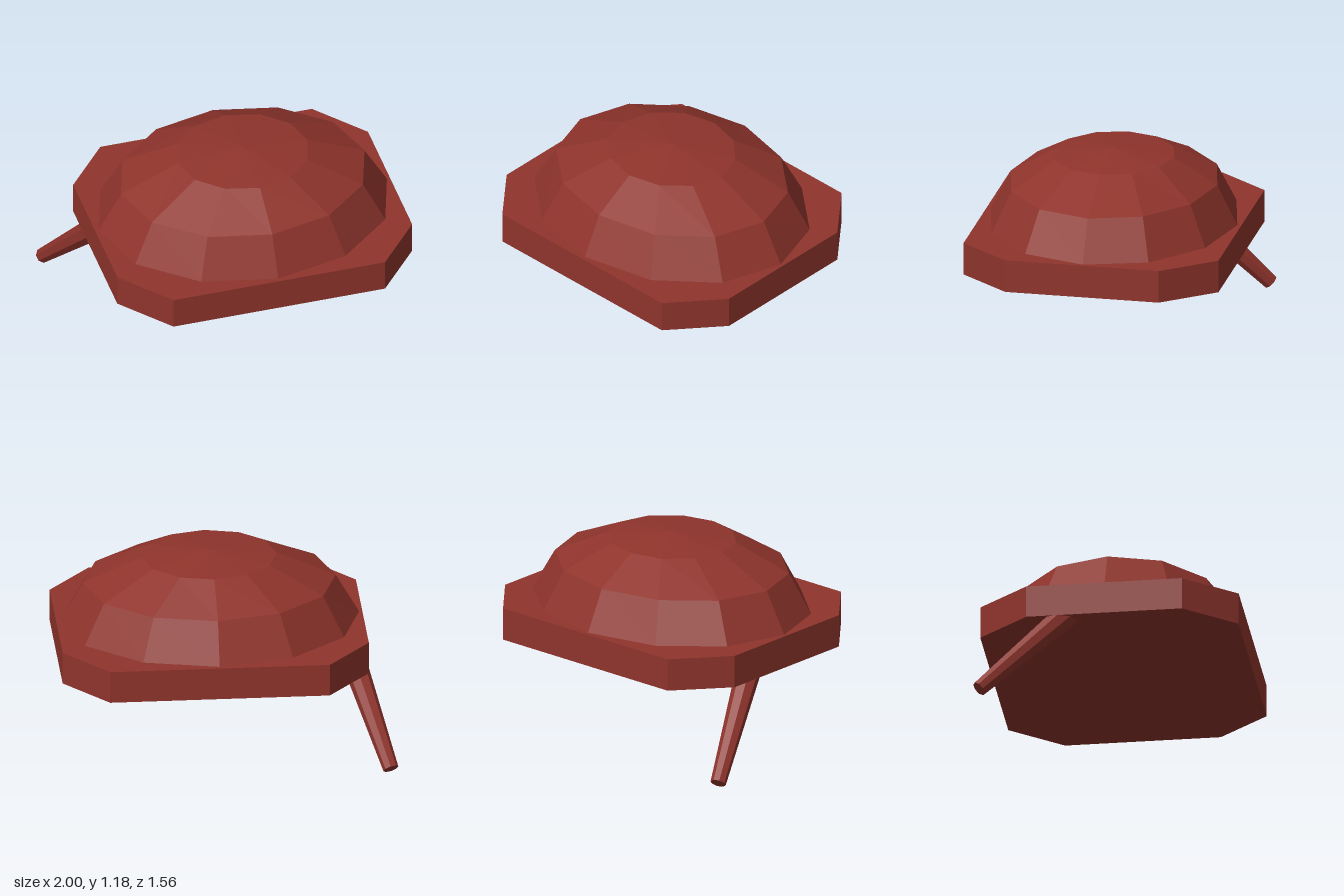
import * as THREE from 'three';

const CX = 0.08; // the body sits slightly to the left of the origin
const material = new THREE.MeshStandardMaterial({ color: 0x8f342c, flatShading: true });

function addMesh(group, name, geometry) {
  const mesh = new THREE.Mesh(geometry, material);
  mesh.name = name;
  group.add(mesh);
  return mesh;
}

export function createModel() {
  const group = new THREE.Group();
  group.name = 'domedBody';

  // Octagonal base slab with chamfered corners
  const outline = [[0.92, 0.47], [0.66, 0.78], [-0.66, 0.78], [-0.92, 0.47],
    [-0.92, -0.47], [-0.66, -0.78], [0.66, -0.78], [0.92, -0.47]];
  const shape = new THREE.Shape(outline.map(([x, z]) => new THREE.Vector2(x, z)));
  const slab = new THREE.ExtrudeGeometry(shape, { depth: 0.2, bevelEnabled: false });
  slab.rotateX(-Math.PI / 2);
  addMesh(group, 'base', slab).position.set(CX, 0.545, 0);

  // Faceted dome: elliptical rings given as [half width x, half depth z, y]
  const rings = [[0.9, 0.755, 0.745], [0.76, 0.633, 0.99], [0.405, 0.37, 1.147], [0, 0, 1.185]];
  const sides = 12;
  const dome = new THREE.LatheGeometry(
    rings.map(([rx, , y]) => new THREE.Vector2(rx, y)), sides);
  const pos = dome.attributes.position;
  for (let i = 0; i < pos.count; i++) {
    const [rx, rz] = rings[i % rings.length];
    if (rx > 0) pos.setZ(i, pos.getZ(i) * rz / rx);
  }
  dome.computeVertexNormals();
  addMesh(group, 'dome', dome).position.x = CX;

  // Tapered handle slanting down and back from under the base
  const tip = new THREE.Vector3(-0.95, 0.034, -0.74);
  const root = new THREE.Vector3(-0.745, 0.6, -0.222);
  const dir = root.clone().sub(tip);
  const handle = addMesh(group, 'handle',
    new THREE.CylinderGeometry(0.078, 0.047, dir.length(), 8));
  handle.position.copy(tip).add(root).multiplyScalar(0.5);
  handle.quaternion.setFromUnitVectors(new THREE.Vector3(0, 1, 0), dir.normalize());

  return group;
}
